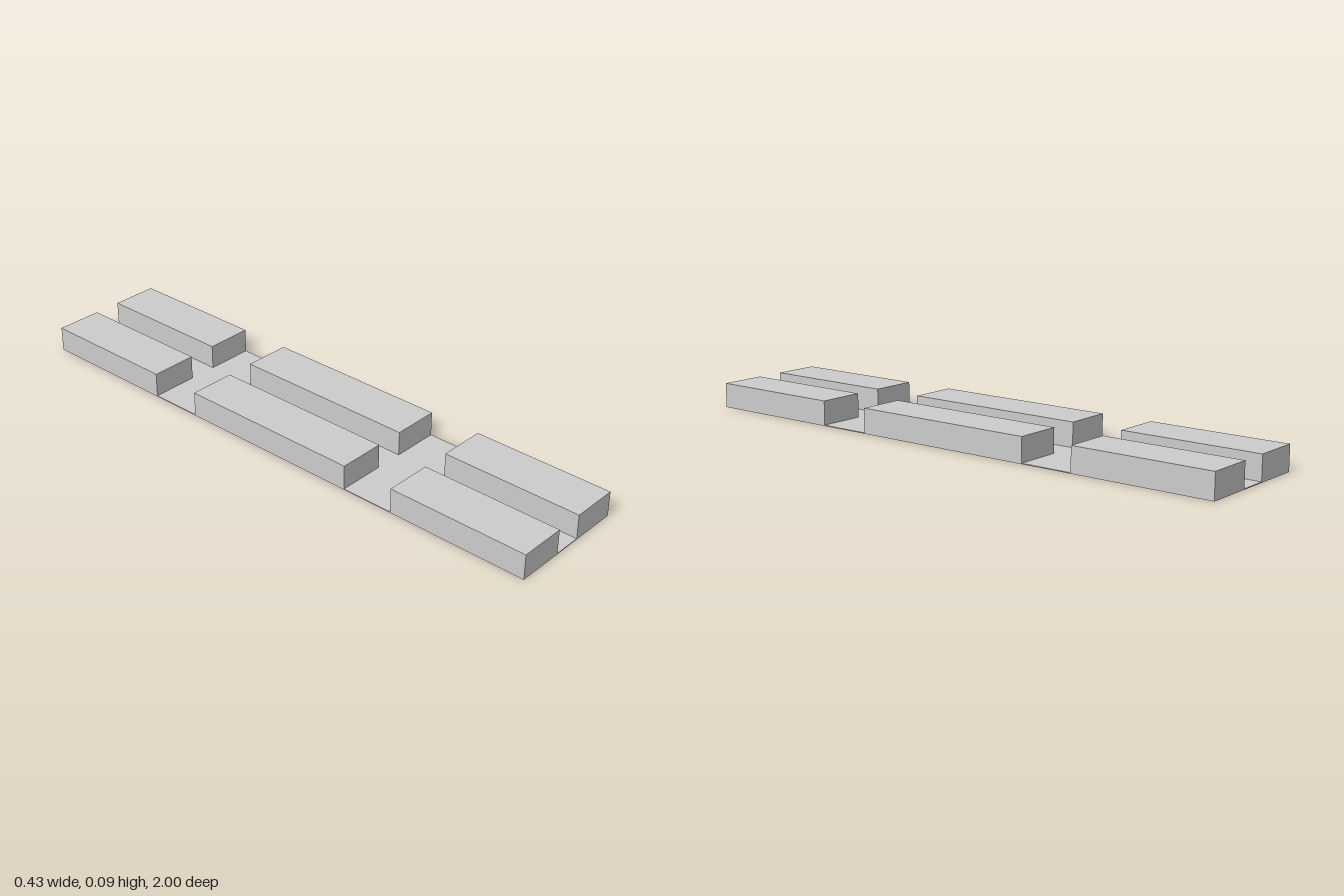
import * as THREE from 'three';

const HALF_WIDTH = 0.213;  // outer edge of the slab
const GAP = 0.049;         // half width of the central lane
const BASE = 0.003;        // slab thickness
const TOP = 0.086;         // top of the blocks

export function createModel() {
  const group = new THREE.Group();
  const material = new THREE.MeshStandardMaterial({ color: 0xcccccc, flatShading: true });

  // Adds a box given by its minimum and maximum corners
  const addBox = (name, [x0, y0, z0], [x1, y1, z1]) => {
    const mesh = new THREE.Mesh(new THREE.BoxGeometry(x1 - x0, y1 - y0, z1 - z0), material);
    mesh.position.set((x0 + x1) / 2, (y0 + y1) / 2, (z0 + z1) / 2);
    mesh.name = name;
    group.add(mesh);
  };

  // Thin ground slab: one long lane with two cross lanes
  addBox('baseSlab', [-HALF_WIDTH, 0, -1], [HALF_WIDTH, BASE, 1]);

  // Three rows of blocks, mirrored across the central lane
  const rows = [['front', 0.51, 1], ['middle', -0.327, 0.327], ['back', -1, -0.51]];
  for (const [row, z0, z1] of rows) {
    addBox(`${row}LeftBlock`, [GAP, BASE, z0], [HALF_WIDTH, TOP, z1]);
    addBox(`${row}RightBlock`, [-HALF_WIDTH, BASE, z0], [-GAP, TOP, z1]);
  }
  return group;
}
